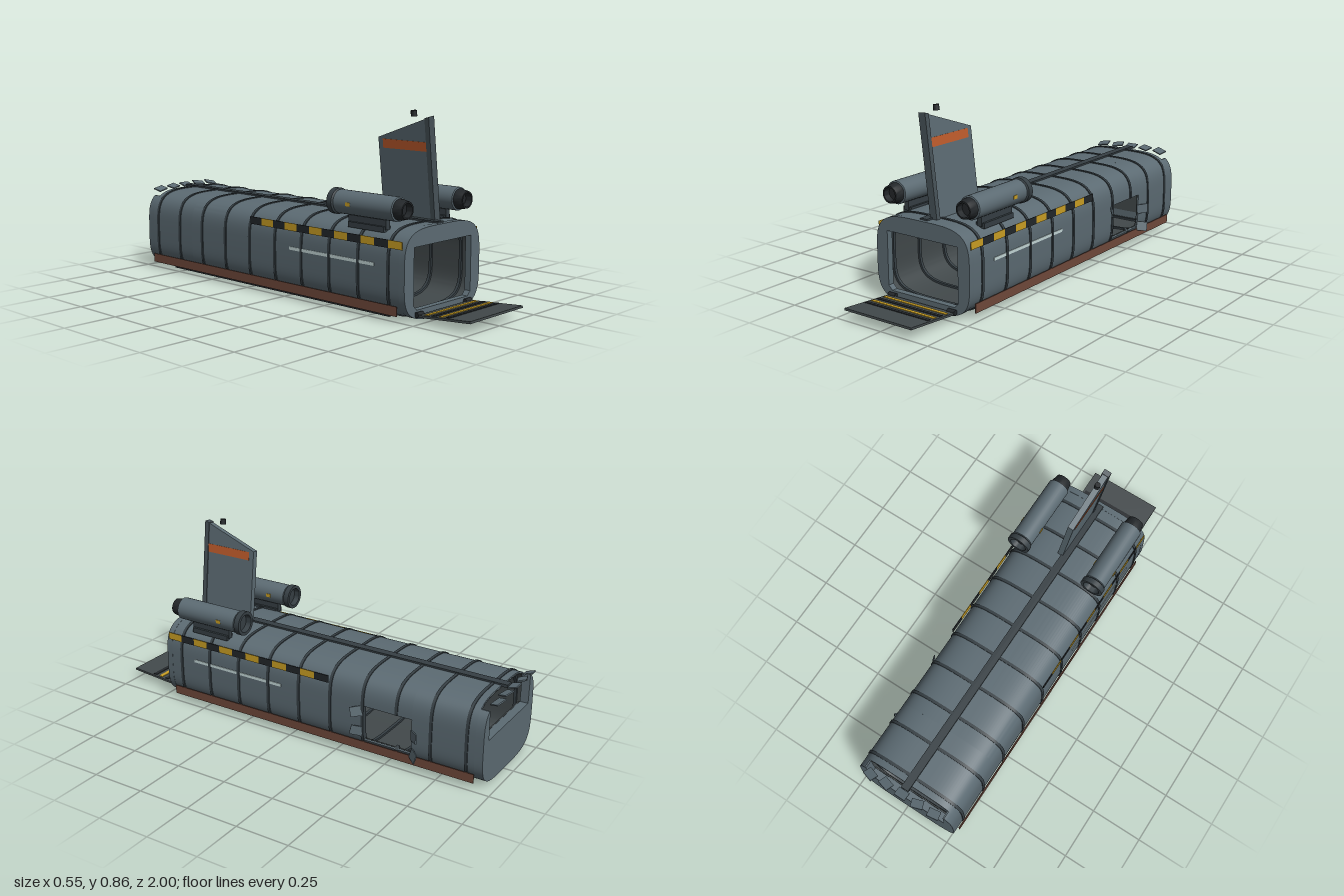
import * as THREE from 'three';
import { toCreasedNormals } from 'three/addons/utils/BufferGeometryUtils.js';

const mat = (color) => new THREE.MeshStandardMaterial({ color, side: THREE.DoubleSide });
const HULL = mat(0x5c6b73), RIB = mat(0x363f44), DARK = mat(0x42494b), BLACK = mat(0x23272a),
  TRIM = mat(0x475258), RUST = mat(0x70493b), ORANGE = mat(0xbf5c2c), YELLOW = mat(0xcba024), WHITE = mat(0xc4d8d8);

const CX = -0.017, CY = 0.197, A = 0.254, B = 0.194; // hull centre and half sizes

function add(parent, name, geometry, material, x = 0, y = 0, z = 0, rx = 0, ry = 0, rz = 0) {
  const m = new THREE.Mesh(geometry, material);
  m.name = name;
  m.position.set(x, y, z);
  m.rotation.set(rx, ry, rz);
  parent.add(m);
  return m;
}
const box = (w, h, d) => new THREE.BoxGeometry(w, h, d);

// Rounded hull outline from angle t0 to t1, grown or shrunk by off
function arc(off, t0 = 0, t1 = Math.PI * 2, n = 88) {
  const pts = [];
  const root = (v) => Math.sign(v) * Math.sqrt(Math.abs(v));
  for (let i = 0; i <= n; i++) {
    const t = t0 + ((t1 - t0) * i) / n;
    pts.push(new THREE.Vector2((A + off) * root(Math.cos(t)), (B + off) * root(Math.sin(t))));
  }
  return pts;
}
function ringShape(outer, inner) {
  const s = new THREE.Shape(arc(outer).slice(0, -1));
  s.holes.push(new THREE.Path(arc(inner).slice(0, -1)));
  return s;
}
// Same ring with the side breach left open
function openShape(outer, inner) {
  const t0 = 0.061, t1 = Math.PI * 2 - 0.406;
  return new THREE.Shape([...arc(outer, t0, t1), ...arc(inner, t0, t1).reverse()]);
}
function extrudeZ(shape, z0, z1) {
  const g = new THREE.ExtrudeGeometry(shape, { depth: z1 - z0, bevelEnabled: false });
  g.translate(CX, CY, z0);
  return toCreasedNormals(g, 0.6);
}

function buildHull(root) {
  const sections = [[-0.37, 0.69, ringShape], [-0.62, -0.37, openShape], [-0.918, -0.62, ringShape]];
  for (const [z0, z1, shape] of sections) {
    add(root, 'hullSkin', extrudeZ(shape(0, -0.006), z0, z1), HULL);
    add(root, 'hullLiner', extrudeZ(shape(-0.007, -0.011), z0, z1), DARK);
  }
  for (let i = 0; i < 10; i++) {
    const z = 0.632 - 0.168 * i;
    const shape = z < -0.4 && z > -0.62 ? openShape : ringShape;
    add(root, 'hullRib', extrudeZ(shape(0.004, -0.02), z - 0.007, z + 0.007), RIB);
  }

  // Front frame with the ramp doorway
  const frame = new THREE.Shape(arc(0.001).slice(0, -1));
  const y0 = 0.05 - CY, y1 = 0.316 - CY, w = 0.193, c = 0.02;
  frame.holes.push(new THREE.Path([[-w, y1], [-w, y0 + c], [-w + c, y0], [w - c, y0], [w, y0 + c], [w, y1]]
    .map(([x, y]) => new THREE.Vector2(x, y))));
  add(root, 'frontFrame', extrudeZ(frame, 0.69, 0.72), HULL);

  // Rear wall, open at the top
  const wall = arc(0).filter((p) => p.y < 0.165).slice();
  const split = wall.findIndex((p, i) => i > 0 && wall[i - 1].x > 0 && p.x < 0);
  const rim = [...wall.slice(split), ...wall.slice(0, split)];
  const notch = 0.222 - CY;
  rim.push(new THREE.Vector2(0.207, 0.163), new THREE.Vector2(0.203, notch),
    new THREE.Vector2(-0.203, notch), new THREE.Vector2(-0.207, 0.163));
  add(root, 'rearWall', extrudeZ(new THREE.Shape(rim), -0.957, -0.918), HULL);
  add(root, 'rearBulkhead', box(0.41, 0.17, 0.006), DARK, CX, 0.137, -0.914);

  add(root, 'topSpine', box(0.038, 0.014, 1.65), RIB, CX, 0.392, -0.122);
}

function buildSides(root) {
  for (const s of [-1, 1]) {
    const side = new THREE.Group();
    side.name = s > 0 ? 'leftSide' : 'rightSide';
    root.add(side);
    for (let i = 0; i < 12; i++)
      add(side, 'hazardStripe', box(0.003, 0.034, 0.0755), i % 2 ? BLACK : YELLOW,
        CX + s * 0.253, 0.328, 0.668 - 0.0755 * i);
    add(side, 'lightStrip', box(0.004, 0.014, 0.5), WHITE, CX + s * 0.2545, 0.232, 0.305);
    add(side, 'rustSkirt', box(0.004, 0.042, 1.6), RUST, CX + s * 0.252, 0.05, -0.12);
    add(side, 'skidRail', box(0.024, 0.02, 1.4), BLACK, CX + s * 0.219, 0.025, -0.08);
    buildNacelle(side, CX + s * 0.2015);
  }
}

function buildNacelle(parent, x) {
  const g = new THREE.Group();
  g.name = 'nacelle';
  g.position.set(x, 0.466, 0);
  parent.add(g);
  const tube = (name, pts, material) => {
    const geo = new THREE.LatheGeometry(pts.map(([r, z]) => new THREE.Vector2(r, z)), 28);
    geo.rotateX(Math.PI / 2);
    add(g, name, toCreasedNormals(geo, 0.6), material);
  };
  tube('nacelleBody', [[0, 0.32], [0.052, 0.32], [0.052, 0.645], [0.04, 0.648]], HULL);
  tube('rearRing', [[0.04, 0.32], [0.057, 0.312], [0.057, 0.285], [0.042, 0.285], [0.04, 0.312], [0, 0.312]], RIB);
  tube('frontNozzle', [[0.045, 0.64], [0.045, 0.655], [0.038, 0.69], [0.031, 0.69], [0.029, 0.66], [0, 0.66]], BLACK);
  for (const s of [-1, 1]) add(g, 'nacelleMarker', box(0.004, 0.016, 0.024), YELLOW, s * 0.052, 0, 0.405);
  add(g, 'pylon', box(0.024, 0.05, 0.21), RIB, 0, -0.068, 0.48);
  add(g, 'pylonFoot', box(0.046, 0.024, 0.2), RIB, 0, -0.09, 0.48);
}

function buildFin(root) {
  const fin = new THREE.Group();
  fin.name = 'tailFin';
  fin.position.set(0.008, 0.385, 0);
  fin.rotation.z = 0.118;
  root.add(fin);
  // Side profile given as [z, height]
  const slab = (name, pts, width, material) => {
    const g = new THREE.ExtrudeGeometry(new THREE.Shape(pts.map((p) => new THREE.Vector2(...p))),
      { depth: width, bevelEnabled: false });
    g.rotateY(-Math.PI / 2).translate(width / 2, 0, 0);
    add(fin, name, g, material);
  };
  slab('finPanel', [[0.38, 0], [0.65, 0], [0.65, 0.449], [0.38, 0.354]], 0.028, HULL);
  slab('finLeadingEdge', [[0.645, 0], [0.668, 0], [0.668, 0.457], [0.645, 0.451]], 0.036, TRIM);
  slab('finBand', [[0.405, 0.308], [0.645, 0.308], [0.645, 0.348], [0.405, 0.348]], 0.031, ORANGE);
  add(root, 'beacon', new THREE.CylinderGeometry(0.013, 0.014, 0.025, 12), BLACK, -0.046, 0.847, 0.575, 0, 0, 0.118);
}

function buildRamp(root) {
  const ramp = new THREE.Group();
  ramp.name = 'ramp';
  ramp.position.set(CX, 0.039, 0.866);
  ramp.rotation.x = -0.08;
  root.add(ramp);
  add(ramp, 'rampPlate', box(0.366, 0.01, 0.268), DARK);
  [-0.096, -0.058, -0.021, 0.015].forEach((z, i) =>
    add(ramp, 'rampStripe', box(0.346, 0.004, 0.018), i % 2 ? BLACK : YELLOW, 0, 0.006, z));
  for (const s of [-1, 1])
    add(root, 'rampHinge', new THREE.CylinderGeometry(0.012, 0.012, 0.04, 12), BLACK,
      CX + s * 0.165, 0.032, 0.728, 0, 0, Math.PI / 2);
}

function buildDamage(root) {
  // Plates peeled up along the rear roof edge: x, y, z, yaw, roll
  for (const [x, y, z, yaw, roll] of [
    [-0.185, 0.388, -0.966, 0.2, 0.12], [-0.1, 0.393, -0.97, 0.35, 0.03], [-0.018, 0.395, -0.97, 0, 0],
    [0.067, 0.395, -0.97, -0.3, -0.03], [0.15, 0.389, -0.972, -0.35, -0.12]])
    add(root, 'roofShard', box(0.056, 0.006, 0.042), HULL, x, y, z, 0.28, yaw, roll);

  // Petals bent outward around the side breach: y, z, yaw, twist
  for (const [y, z, yaw, twist] of [
    [0.218, -0.352, 0.55, 0.2], [0.125, -0.354, 0.55, -0.25],
    [0.172, -0.638, -0.7, 0.12], [0.08, -0.638, -0.7, -0.2]])
    add(root, 'breachPetal', box(0.005, 0.045, 0.055), HULL, 0.25, y, z, twist, yaw, 0.1);
}

export function createModel() {
  const root = new THREE.Group();
  root.name = 'wreckedCargoHull';
  buildHull(root);
  buildSides(root);
  buildFin(root);
  buildRamp(root);
  buildDamage(root);
  return root;
}
